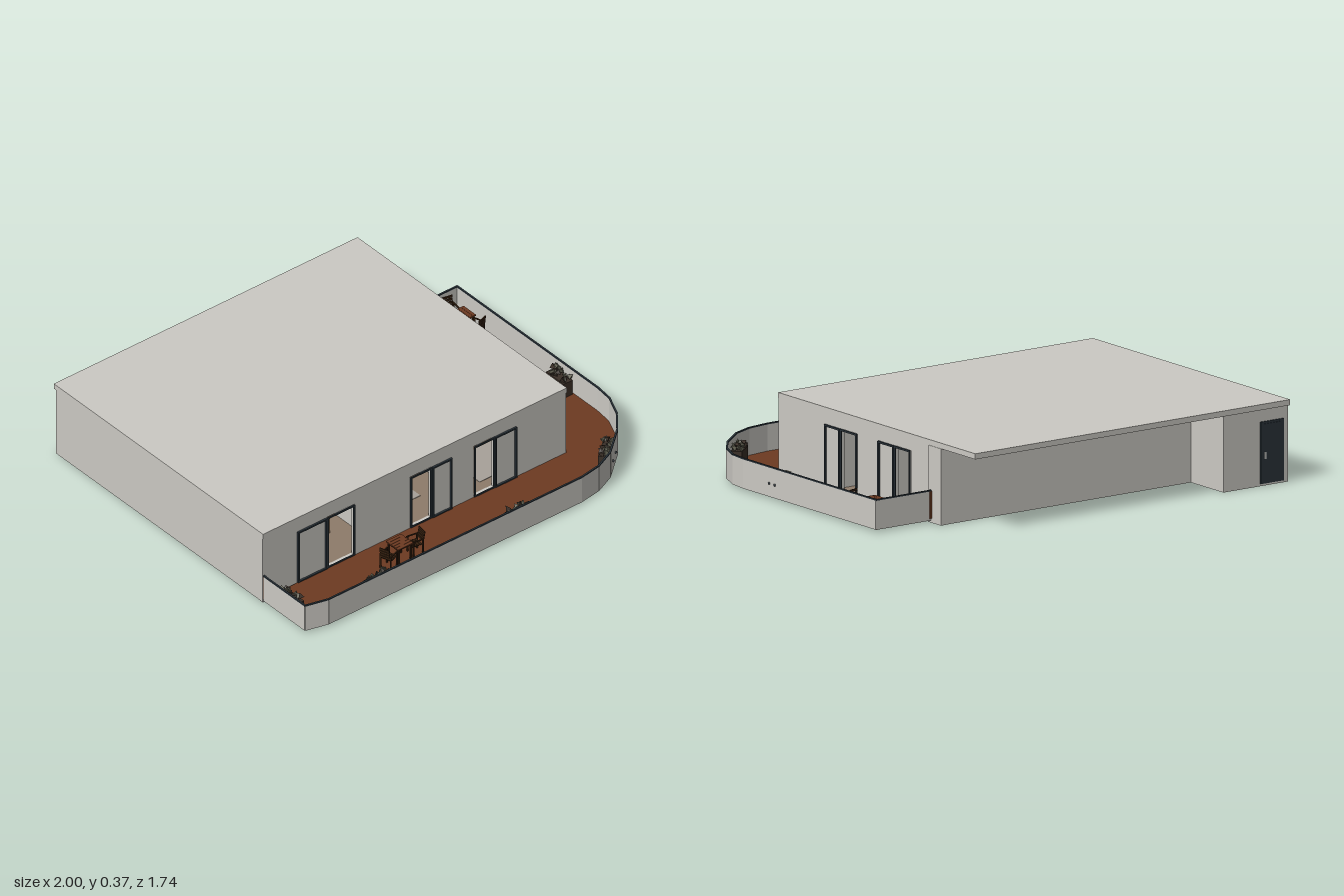
import * as THREE from 'three';

const mat = (name, color, side = THREE.FrontSide) => {
  const m = new THREE.MeshStandardMaterial({ color, side });
  m.name = name;
  return m;
};

export function createModel() {
  const M = {
    wall: mat('pale grey render', 0xcccac4),
    deck: mat('red brown decking', 0x6e3b22),
    floor: mat('taupe floor', 0x8e7c6a),
    frame: mat('dark slate frame', 0x2a333a),
    timber: mat('tan timber', 0xa88c6c),
    seat: mat('dark brown furniture', 0x35200f),
    planter: mat('planter brown', 0x3b3028),
    foliage: mat('grey green foliage', 0x626152),
    tile: mat('grey tile', 0xa8a29a),
    white: mat('lamp white', 0xe6e6e2),
  };
  const root = new THREE.Group();
  root.name = 'terraceHouse';

  const add = (name, geo, m, x = 0, y = 0, z = 0, parent = root) => {
    const mesh = new THREE.Mesh(geo, m);
    mesh.name = name;
    mesh.position.set(x, y, z);
    parent.add(mesh);
    return mesh;
  };
  // Box given by its minimum and maximum corners
  const box = (name, m, x0, x1, y0, y1, z0, z1, parent = root) =>
    add(name, new THREE.BoxGeometry(x1 - x0, y1 - y0, z1 - z0), m,
      (x0 + x1) / 2, (y0 + y1) / 2, (z0 + z1) / 2, parent);
  const polygon = (pts) => new THREE.Shape(pts.map(([x, y]) => new THREE.Vector2(x, y)));
  const group = (name, x, y, z, turn = 0, parent = root) => {
    const g = new THREE.Group();
    g.name = name;
    g.position.set(x, y, z);
    g.rotation.y = turn;
    parent.add(g);
    return g;
  };

  const TOP = 0.34, HEAD = 0.29, SILL = 0.02, T = 0.02;

  // Roof slab
  box('roof', M.wall, -1, 0.692, TOP, 0.365, -0.872, 0.552);

  // Wall with door openings; each opening has a sliding panel parked beside it
  function glazedWall(name, x0, x1, openings, x, z, turn) {
    const g = group(name, x, 0, z, turn);
    const shape = polygon([[x0, 0], [x1, 0], [x1, TOP], [x0, TOP]]);
    const frame = (part, a, b, depth) => {
      const s = polygon([[a, SILL], [b, SILL], [b, HEAD], [a, HEAD]]);
      const w = 0.008;
      s.holes.push(polygon([[a + w, SILL + w], [a + w, HEAD - w], [b - w, HEAD - w], [b - w, SILL + w]]));
      add(part, new THREE.ExtrudeGeometry(s, { depth, bevelEnabled: false }), M.frame, 0, 0, 0.001, g);
    };
    for (const [a, b, c, d] of openings) {
      shape.holes.push(polygon([[a, SILL], [a, HEAD], [b, HEAD], [b, SILL]]));
      frame('doorFrame', a, b, 0.006);
      frame('slidingPanel', c, d, 0.009);
    }
    add('wallFace', new THREE.ExtrudeGeometry(shape, { depth: T, bevelEnabled: false }), M.wall, 0, 0, -T, g);
  }
  glazedWall('frontWall', -1, 0.69, [
    [-0.645, -0.49, -0.81, -0.645],
    [-0.18, -0.06, -0.06, 0.05],
    [0.175, 0.29, 0.29, 0.41],
  ], 0, 0.55, 0);
  glazedWall('sideWall', -0.53, 0.625, [
    [-0.10, 0.02, -0.21, -0.10],
    [0.29, 0.405, 0.175, 0.29],
  ], 0.69, 0, Math.PI / 2);

  // Solid walls and rear entrance block
  box('rightWall', M.wall, -0.998, -0.978, 0, TOP, -0.86, 0.53);
  box('backWall', M.wall, -0.978, 0.67, 0, TOP, -0.625, -0.605);
  box('cornerPier', M.wall, 0.66, 0.694, 0, TOP, -0.627, -0.537);
  box('entranceBlock', M.wall, -0.978, -0.65, 0, TOP, -0.86, -0.625);
  box('entranceDoorFrame', M.frame, -0.972, -0.848, 0.01, 0.285, -0.865, -0.859);
  box('entranceDoor', M.frame, -0.962, -0.858, 0.015, 0.275, -0.868, -0.864);
  box('doorHandle', M.white, -0.872, -0.866, 0.12, 0.15, -0.872, -0.867);

  // Indoor floor, tiles and partitions
  box('indoorFloor', M.floor, -0.978, 0.67, 0.004, 0.018, -0.605, 0.53);
  for (const [x, z, w, d] of [[0.39, 0.38, 0.25, 0.2], [0.48, -0.28, 0.24, 0.24],
    [-0.12, 0.27, 0.25, 0.25], [-0.15, -0.36, 0.26, 0.2], [-0.75, 0.04, 0.22, 0.26]]) {
    box('floorTile', M.tile, x - w / 2, x + w / 2, 0.002, 0.02, z - d / 2, z + d / 2);
  }
  const partitions = [
    [0.14, 0.155, -0.605, 0.53], [-0.365, -0.35, -0.605, 0.53],
    [0.155, 0.67, 0.13, 0.145], [0.155, 0.67, -0.13, -0.115], [-0.35, 0.14, -0.1, -0.085],
  ];
  for (const [x0, x1, z0, z1] of partitions) box('partition', M.wall, x0, x1, 0.001, TOP, z0, z1);
  for (const z of [0.07, 0.01]) box('indoorDoor', M.timber, 0.155, 0.161, 0.02, 0.28, z - 0.028, z + 0.028);
  box('indoorDoor', M.timber, -0.19, -0.09, 0.02, 0.28, -0.085, -0.079);
  box('wardrobe', M.timber, 0.155, 0.22, 0.02, 0.3, -0.42, -0.26);
  box('kitchenCounter', M.timber, -0.68, -0.47, 0.02, 0.21, 0.28, 0.36);
  add('fruitBowl', new THREE.ConeGeometry(0.03, 0.04, 10), M.deck, -0.57, 0.23, 0.32);
  for (const [x, z] of [[-0.15, 0.25], [0.21, 0.35], [0.4, 0.01], [0.4, -0.35]]) {
    add('ceilingLamp', new THREE.SphereGeometry(0.025, 14, 8, 0, Math.PI * 2, Math.PI / 2, Math.PI / 2), M.white, x, TOP - 0.04, z);
    box('lampMount', M.white, x - 0.025, x + 0.025, TOP - 0.04, TOP, z - 0.025, z + 0.025);
  }

  // Terrace deck wrapping the front and side
  const edge = [[-0.997, 0.555], [-0.997, 0.835], [-0.89, 0.862], [0.52, 0.862], [0.63, 0.845], [0.73, 0.8],
    [0.86, 0.69], [0.935, 0.595], [0.98, 0.49], [0.99, 0.4], [0.99, -0.558], [0.697, -0.558]];
  const deckGeo = new THREE.ExtrudeGeometry(polygon([...edge, [0.692, 0.552]]), { depth: 0.012, bevelEnabled: false });
  deckGeo.rotateX(Math.PI / 2);
  add('deck', deckGeo, M.deck, 0, 0.022, 0);

  // Parapet and dark top rail follow the deck edge
  for (let i = 0; i < edge.length - 1; i++) {
    const [ax, az] = edge[i], [bx, bz] = edge[i + 1];
    const len = Math.hypot(bx - ax, bz - az);
    const g = group('parapetSection', (ax + bx) / 2, 0, (az + bz) / 2, -Math.atan2(bz - az, bx - ax));
    box('parapet', M.wall, -len / 2, len / 2, 0.011, 0.14, -0.003, 0.003, g);
    box('topRail', M.frame, -len / 2 - 0.002, len / 2 + 0.002, 0.14, 0.146, -0.004, 0.004, g);
  }
  box('endPost', M.deck, -1, -0.988, 0.02, 0.14, 0.552, 0.564);
  box('endPost', M.deck, 0.694, 0.706, 0.02, 0.14, -0.564, -0.552);
  for (const [x, z, y] of [[0.99, 0.21, 0.07], [0.99, 0.17, 0.07], [0.762, 0.773, 0.068], [0.812, 0.731, 0.068]]) {
    add('wallFixing', new THREE.SphereGeometry(0.006, 8, 6), M.frame, x + 0.004, y, z + (z > 0.5 ? 0.004 : 0));
  }

  // Planters with clumps of foliage
  let seed = 7;
  const rand = () => (seed = (seed * 16807) % 2147483647) / 2147483647;
  for (const [x, z, turn] of [[-0.962, 0.695, Math.PI / 2], [-0.585, 0.828, 0], [0.2, 0.828, 0],
    [0.775, 0.72, 0.7], [0.955, 0.18, Math.PI / 2]]) {
    const g = group('planter', x, 0.022, z, turn);
    box('planterBox', M.planter, -0.06, 0.06, 0, 0.075, -0.025, 0.025, g);
    for (let i = 0; i < 22; i++) {
      const leaf = add('foliage', new THREE.TetrahedronGeometry(0.013 + rand() * 0.006), i % 3 ? M.foliage : M.planter,
        (rand() - 0.5) * 0.11, 0.08 + rand() * 0.02, (rand() - 0.5) * 0.045, g);
      leaf.rotation.set(rand() * 3, rand() * 3, rand() * 3);
    }
  }

  // Slatted chair facing +x
  function chair(parent, x, z, turn) {
    const g = group('chair', x, 0, z, turn, parent);
    for (let i = 0; i < 4; i++) {
      box('seatSlat', M.seat, -0.024 + i * 0.013, -0.014 + i * 0.013, 0.05, 0.055, -0.025, 0.025, g);
      box('backSlat', M.seat, -0.034 - i * 0.002, -0.029 - i * 0.002, 0.062 + i * 0.014, 0.072 + i * 0.014, -0.025, 0.025, g);
    }
    for (const s of [-1, 1]) {
      box('armRest', M.seat, -0.032, 0.024, 0.076, 0.08, s * 0.026 - 0.003, s * 0.026 + 0.003, g);
      for (const lx of [-0.028, 0.02]) box('chairLeg', M.seat, lx - 0.003, lx + 0.003, 0, 0.078, s * 0.026 - 0.003, s * 0.026 + 0.003, g);
    }
  }
  // Table with two chairs
  for (const [x, z, turn] of [[-0.36, 0.7, 0], [0.905, -0.42, Math.PI / 2]]) {
    const g = group('tableSet', x, 0.022, z, turn);
    for (let i = 0; i < 5; i++) box('tableSlat', M.deck, -0.042, 0.042, 0.085, 0.091, -0.042 + i * 0.017, -0.026 + i * 0.017, g);
    box('tableFrame', M.seat, -0.038, 0.038, 0.078, 0.085, -0.036, 0.036, g);
    for (const sx of [-1, 1]) for (const sz of [-1, 1])
      box('tableLeg', M.seat, sx * 0.034 - 0.004, sx * 0.034 + 0.004, 0, 0.08, sz * 0.034 - 0.004, sz * 0.034 + 0.004, g);
    chair(g, -0.07, 0.015, 0.3);
    chair(g, 0.078, 0.005, Math.PI - 0.15);
  }
  return root;
}
